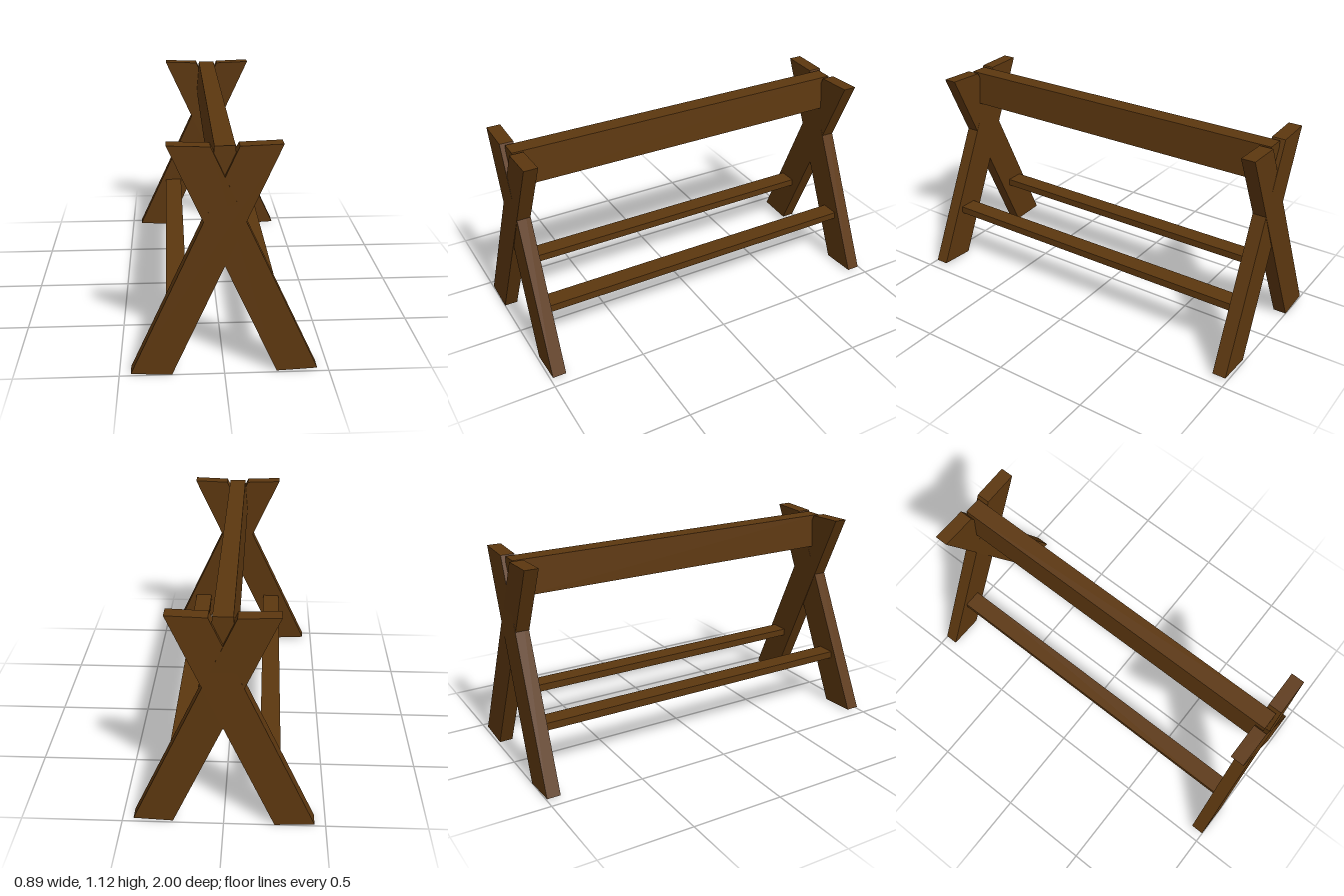
import * as THREE from 'three';

const wood = new THREE.MeshStandardMaterial({ color: 0x5c370f });
wood.name = 'brown wood';

// Extrude an outline along z, centred on z = 0
function plank(name, points, depth) {
  const shape = new THREE.Shape(points.map(([x, y]) => new THREE.Vector2(x, y)));
  const geometry = new THREE.ExtrudeGeometry(shape, { depth, bevelEnabled: false });
  geometry.translate(0, 0, -depth / 2);
  const mesh = new THREE.Mesh(geometry, wood);
  mesh.name = name;
  return mesh;
}

// Slanted leg board: lean is the x side of its top, end is the z end it stands at
function leg(name, lean, end, footZ, topZ) {
  const outline = [[-0.445, 0.01], [-0.25, 0], [0.26, 1.122], [0.065, 1.115]];
  const mesh = plank(name, outline.map(([x, y]) => [x * lean, y]), 0.072);
  // Tilt the board inwards towards the top
  const p = mesh.geometry.attributes.position;
  for (let i = 0; i < p.count; i++) {
    const t = p.getY(i) / 1.122;
    p.setZ(i, p.getZ(i) + end * THREE.MathUtils.lerp(footZ, topZ, t));
  }
  mesh.geometry.computeVertexNormals();
  return mesh;
}

export function createModel() {
  const model = new THREE.Group();
  model.name = 'sawhorse';

  // Crossed legs at both ends
  for (const end of [1, -1]) {
    const frame = new THREE.Group();
    frame.name = end > 0 ? 'frontLegs' : 'backLegs';
    frame.add(leg('outerLeg', 1, end, 0.964, 0.932));
    frame.add(leg('innerLeg', -1, end, 0.952, 0.936));
    model.add(frame);
  }

  // Top beam, slightly wider at its bottom
  model.add(plank('topBeam', [[-0.063, 0.93], [0.063, 0.93], [0.047, 1.113], [-0.047, 1.113]], 1.9));

  // Lower rails
  for (const side of [1, -1]) {
    const rail = new THREE.Mesh(new THREE.BoxGeometry(0.1, 0.04, 1.86), wood);
    rail.name = side > 0 ? 'leftRail' : 'rightRail';
    rail.position.set(side * 0.223, 0.305, 0);
    model.add(rail);
  }
  return model;
}
